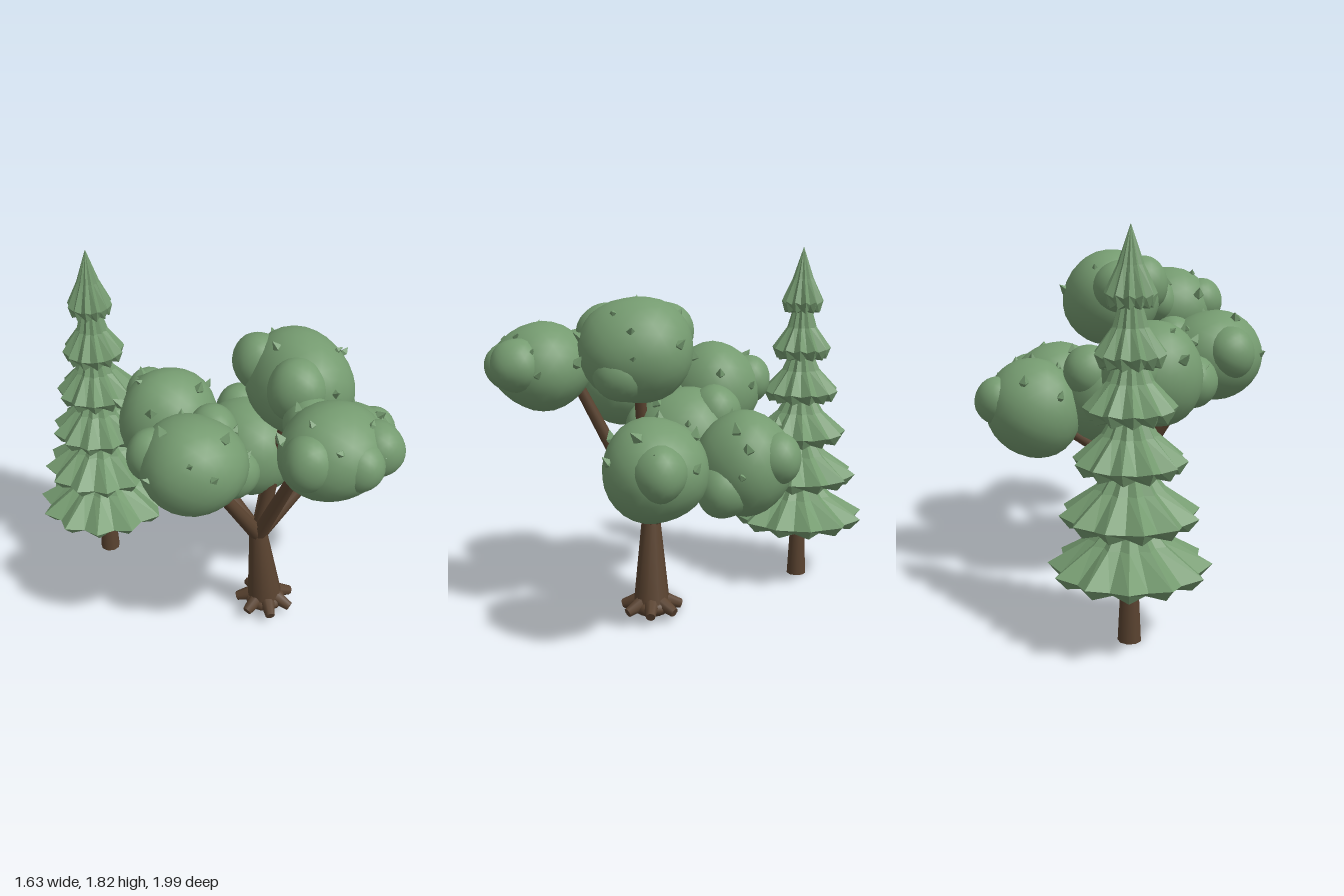
import * as THREE from 'three';
import { mergeVertices } from 'three/addons/utils/BufferGeometryUtils.js';

const bark = new THREE.MeshStandardMaterial({ color: 0x5a4330 });
bark.name = 'bark brown';
const leaf = new THREE.MeshStandardMaterial({ color: 0x759b70 });
leaf.name = 'leaf green';

function add(parent, name, geometry, material) {
  const mesh = new THREE.Mesh(geometry, material);
  mesh.name = name;
  parent.add(mesh);
  return mesh;
}

function seeded(seed) {
  let s = seed;
  return () => (s = (s * 16807) % 2147483647) / 2147483647;
}

// Tapered limb between two points
function limb(parent, name, from, to, r0, r1, sides = 9) {
  const a = new THREE.Vector3(...from), b = new THREE.Vector3(...to);
  const mesh = add(parent, name, new THREE.CylinderGeometry(r1, r0, a.distanceTo(b), sides), bark);
  mesh.position.copy(a).add(b).multiplyScalar(0.5);
  mesh.quaternion.setFromUnitVectors(new THREE.Vector3(0, 1, 0), b.sub(a).normalize());
  return mesh;
}

// Smooth, slightly lumpy ball of foliage
function ball(rx, ry, rz, seed) {
  const ico = new THREE.IcosahedronGeometry(1, 4);
  ico.deleteAttribute('uv');
  ico.deleteAttribute('normal');
  const g = mergeVertices(ico, 1e-4);
  const p = g.attributes.position;
  const v = new THREE.Vector3();
  for (let i = 0; i < p.count; i++) {
    v.fromBufferAttribute(p, i);
    const lump = 1 + 0.025 * Math.sin(3.1 * v.x + seed) * Math.cos(2.7 * v.y - seed)
      + 0.02 * Math.sin(4.3 * v.z + 2 * seed);
    p.setXYZ(i, v.x * rx * lump, v.y * ry * lump, v.z * rz * lump);
  }
  g.computeVertexNormals();
  return g;
}

// Pleated conifer skirt: a lathe whose every second column is drawn inward
function skirt(r, y, top, tip) {
  const profile = [[0, y], [r * 0.85, y], [r, y + 0.06], [r * 0.5, y + 0.06 + (top - y - 0.06) * 0.42], [tip, top]]
    .map(q => new THREE.Vector2(...q));
  const g = new THREE.LatheGeometry(profile, 24);
  const p = g.attributes.position;
  for (let i = 0; i < p.count; i++) {
    if (Math.floor(i / profile.length) % 2 === 0) continue;
    const row = i % profile.length;
    p.setX(i, p.getX(i) * 0.85);
    p.setZ(i, p.getZ(i) * 0.85);
    if (row === 1 || row === 2) p.setY(i, p.getY(i) + (row === 1 ? 0.015 : -0.015));
  }
  const flat = g.toNonIndexed();
  flat.computeVertexNormals();
  return flat;
}

function conifer() {
  const tree = new THREE.Group();
  tree.name = 'conifer';
  limb(tree, 'coniferTrunk', [0, 0, 0], [0, 0.4, 0], 0.053, 0.034);
  const tiers = [[0.36, 0.3], [0.31, 0.535], [0.25, 0.77], [0.205, 1.0], [0.157, 1.23], [0.112, 1.48]];
  tiers.forEach(([r, y], i) => {
    const last = i === tiers.length - 1;
    const mesh = add(tree, 'needleTier' + (i + 1),
      skirt(r, y, last ? 1.82 : y + 0.32, last ? 0.001 : 0.035), leaf);
    mesh.rotation.y = i * 0.2;
  });
  tree.position.set(-0.455, 0, -0.64);
  return tree;
}

// Leaf cluster: main ball, smaller side balls and little tufts on its skin
function cluster(parent, name, centre, radii, bumps, seed) {
  const group = new THREE.Group();
  group.name = name;
  group.position.set(...centre);
  add(group, 'mainFoliage', ball(...radii, seed), leaf);
  bumps.forEach(([x, y, z, r], i) => {
    add(group, 'sideFoliage', ball(r, r * 1.05, r, seed + i + 1), leaf)
      .position.set(x - centre[0], y - centre[1], z - centre[2]);
  });
  const rnd = seeded(seed * 7919 + 13);
  const normal = new THREE.Vector3();
  for (let i = 0; i < 10; i++) {
    const h = -0.05 + 0.95 * (i + 0.5) / 10, a = i * 2.4 + rnd() * 0.8, w = Math.sqrt(1 - h * h);
    normal.set(w * Math.cos(a), h, w * Math.sin(a));
    const tuft = add(group, 'leafTuft', new THREE.OctahedronGeometry(1), leaf);
    const s = 0.016 + 0.016 * rnd();
    tuft.scale.set(s, s * 1.6, s * 0.9);
    tuft.position.set(normal.x * radii[0], normal.y * radii[1], normal.z * radii[2]);
    tuft.lookAt(tuft.position.clone().add(normal));
  }
  parent.add(group);
}

function broadleaf() {
  const tree = new THREE.Group();
  tree.name = 'broadleafTree';

  // Leaning trunk with a root flare
  limb(tree, 'trunk', [0.078, 0.07, 0.213], [0.03, 0.54, 0.21], 0.092, 0.043, 10);
  const flare = add(tree, 'rootFlare', new THREE.SphereGeometry(0.105, 14, 8), bark);
  flare.position.set(0.078, 0.065, 0.213);
  flare.scale.y = 0.52;
  for (let i = 0; i < 7; i++) {
    const a = i / 7 * Math.PI * 2 + 0.1, c = Math.cos(a), s = Math.sin(a);
    limb(tree, 'root', [0.078 + 0.04 * c, 0.095, 0.213 + 0.04 * s],
      [0.078 + 0.145 * c, 0.055, 0.213 + 0.15 * s], 0.043, 0.024, 8);
  }

  // Branches from the fork to each cluster
  const fork = [0.033, 0.5, 0.21];
  [
    [0.1, 1.2, 0.55], [0.42, 0.84, 0.21], [-0.3, 1.02, 0.28],
    [0.3, 0.78, -0.1], [-0.2, 0.98, -0.06], [0.15, 1.25, 0.27],
  ].forEach(end => limb(tree, 'branch', fork, end, 0.04, 0.026));

  // Crown
  cluster(tree, 'frontCluster', [0.1, 1.3, 0.72], [0.245, 0.212, 0.24],
    [[0.25, 1.33, 0.83, 0.12], [-0.06, 1.33, 0.78, 0.12], [0.13, 1.31, 0.88, 0.11], [0.09, 1.35, 0.55, 0.12]], 1);
  cluster(tree, 'topCluster', [0.2, 1.385, 0.28], [0.24, 0.25, 0.27],
    [[0.07, 1.46, 0.13, 0.13], [0.1, 1.45, 0.42, 0.14], [0.3, 1.3, 0.36, 0.13]], 2);
  cluster(tree, 'leftSideCluster', [0.52, 0.89, 0.22], [0.25, 0.24, 0.24],
    [[0.69, 0.92, 0.21, 0.125]], 3);
  cluster(tree, 'backLeftCluster', [0.36, 0.87, -0.21], [0.25, 0.25, 0.235],
    [[0.48, 0.92, -0.34, 0.115], [0.47, 0.78, -0.1, 0.13]], 4);
  cluster(tree, 'middleCluster', [0.07, 0.93, 0.04], [0.25, 0.25, 0.25],
    [[-0.11, 0.94, 0.2, 0.13], [0.1, 1.06, -0.1, 0.13]], 5);
  cluster(tree, 'rightSideCluster', [-0.37, 1.13, 0.3], [0.25, 0.225, 0.25],
    [[-0.52, 1.17, 0.2, 0.12], [-0.21, 1.2, 0.2, 0.12]], 6);
  cluster(tree, 'backRightCluster', [-0.28, 1.1, -0.14], [0.245, 0.25, 0.24],
    [[-0.29, 1.15, -0.32, 0.12], [-0.42, 1.05, 0.0, 0.12]], 7);
  return tree;
}

export function createModel() {
  const model = new THREE.Group();
  model.name = 'twoTrees';
  model.add(conifer(), broadleaf());
  return model;
}
